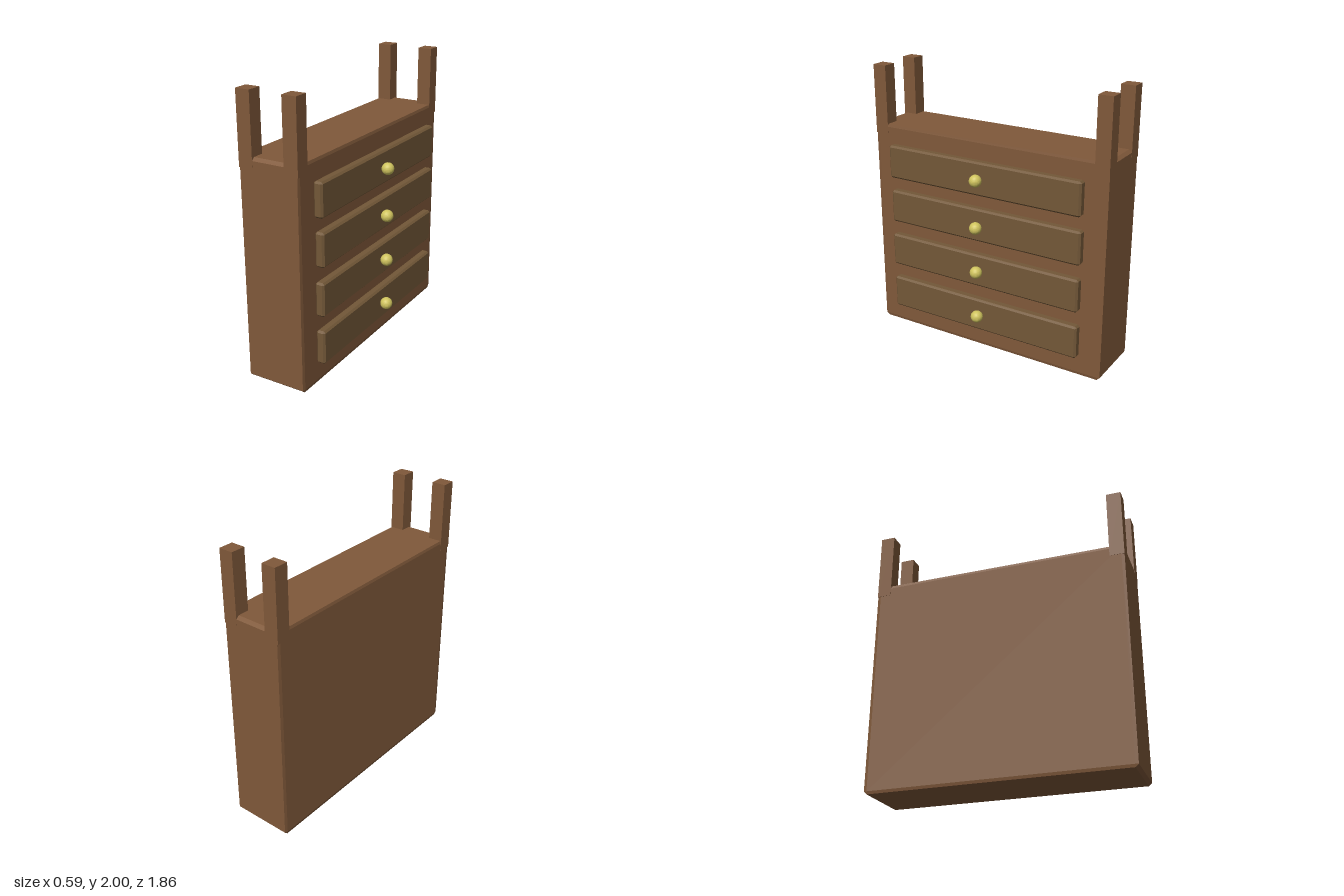
import * as THREE from 'three';
import { ConvexGeometry } from 'three/addons/geometries/ConvexGeometry.js';

const wood = new THREE.MeshStandardMaterial({ color: 0x80593a, flatShading: true });
const drawerWood = new THREE.MeshStandardMaterial({ color: 0x735838, flatShading: true });
const brass = new THREE.MeshStandardMaterial({ color: 0xcfc35e, flatShading: true });

// Box with chamfered edges; size and bevel are [x, y, z].
function chamferBox(size, bevel) {
  const half = size.map((s) => s / 2);
  const points = [];
  for (const sx of [-1, 1]) for (const sy of [-1, 1]) for (const sz of [-1, 1]) {
    const sign = [sx, sy, sz];
    for (let face = 0; face < 3; face++) {
      const p = half.map((h, i) => sign[i] * (i === face ? h : h - bevel[i]));
      points.push(new THREE.Vector3(...p));
    }
  }
  return new ConvexGeometry(points);
}

function addMesh(parent, name, geometry, material, x, y, z) {
  const mesh = new THREE.Mesh(geometry, material);
  mesh.name = name;
  mesh.position.set(x, y, z);
  parent.add(mesh);
  return mesh;
}

export function createModel() {
  const model = new THREE.Group();
  model.name = 'chestOfDrawers';

  // Cabinet body
  addMesh(model, 'cabinetBody', chamferBox([0.44, 1.575, 1.856], [0.005, 0.02, 0.022]), wood, -0.075, 0.7875, 0);

  // Corner posts, sunk a little into the body
  const postGeometry = new THREE.BoxGeometry(0.103, 0.5, 0.104);
  for (const x of [-0.2455, 0.0945]) {
    for (const side of [-1, 1]) {
      addMesh(model, 'cornerPost', postGeometry, wood, x, 1.75, side * 0.877);
    }
  }

  // Drawer fronts, each with a round knob
  const drawerGeometry = chamferBox([0.066, 0.243, 1.54], [0.013, 0.013, 0.014]);
  const knobGeometry = new THREE.SphereGeometry(0.044, 32, 16);
  const drawers = [
    { y: 0.279, z: 0, knobY: 0.288, knobZ: 0.004 },
    { y: 0.63, z: 0.002, knobY: 0.636, knobZ: 0.008 },
    { y: 0.978, z: -0.004, knobY: 0.973, knobZ: 0.009 },
    { y: 1.318, z: 0.004, knobY: 1.32, knobZ: 0.007 },
  ];
  for (const { y, z, knobY, knobZ } of drawers) {
    addMesh(model, 'drawerFront', drawerGeometry, drawerWood, 0.179, y, z);
    addMesh(model, 'drawerKnob', knobGeometry, brass, 0.251, knobY, knobZ);
  }
  return model;
}
